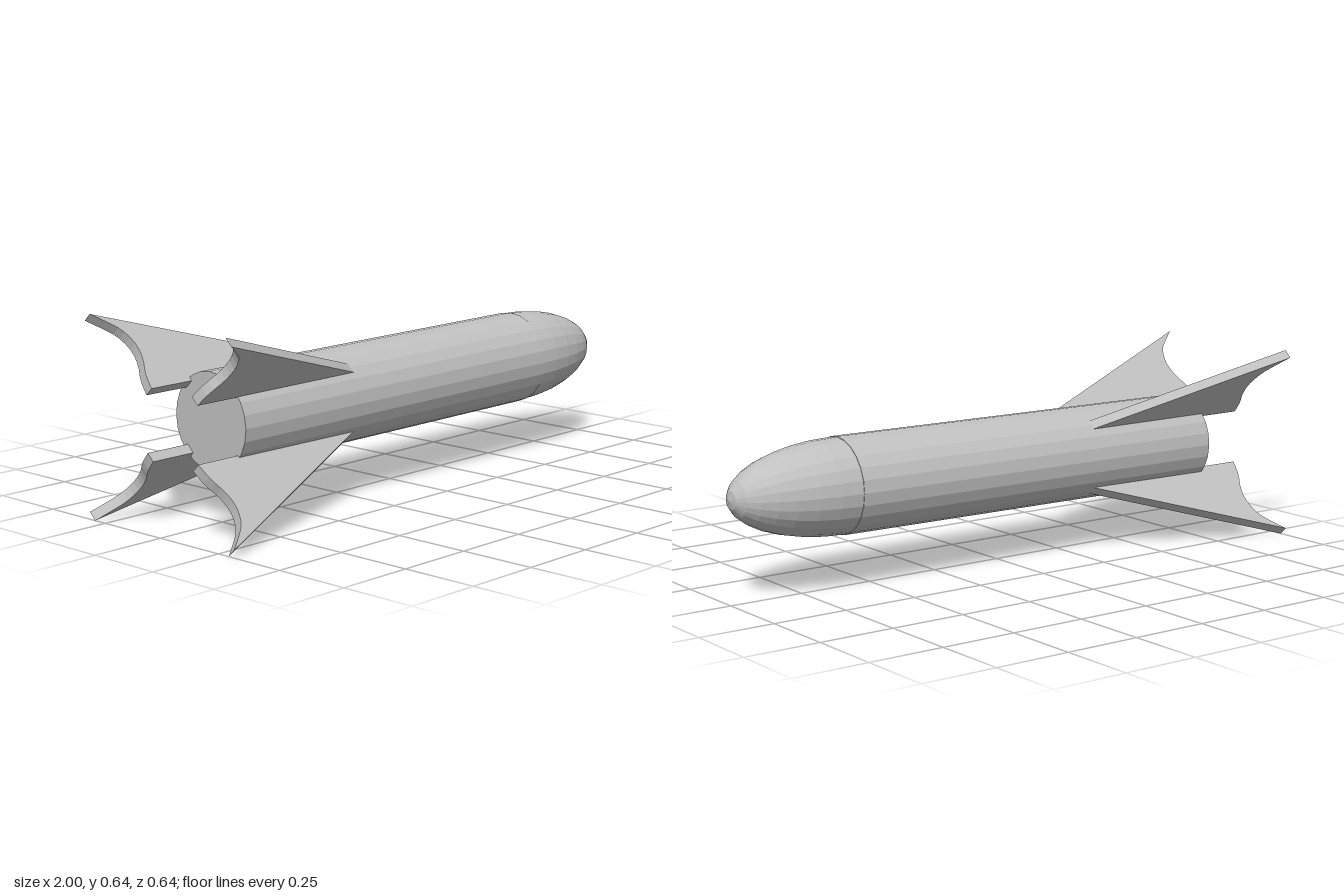
import * as THREE from 'three';

const SIDES = 24;
const BODY_RADIUS = 0.1545;
const AXIS_Y = 0.329;
const FIN_THICKNESS = 0.033;

export function createModel() {
  const model = new THREE.Group();
  model.name = 'rocket';
  const grey = new THREE.MeshStandardMaterial({ color: 0xc0c0c0, flatShading: true });
  grey.name = 'light grey';

  const add = (parent, name, geometry) => {
    const mesh = new THREE.Mesh(geometry, grey);
    mesh.name = name;
    parent.add(mesh);
    return mesh;
  };

  // Fuselage, built from the tail along +x and very slightly tilted
  const fuselage = new THREE.Group();
  fuselage.name = 'fuselage';
  fuselage.position.set(-0.783, 0.3255, -0.0095);
  fuselage.quaternion.setFromUnitVectors(
    new THREE.Vector3(1, 0, 0),
    new THREE.Vector3(1.395, 0.006, 0.012).normalize()
  );
  model.add(fuselage);

  // Straight body tube with closed ends
  const bodyLength = 1.395;
  const body = new THREE.CylinderGeometry(BODY_RADIUS, BODY_RADIUS, bodyLength, SIDES);
  body.rotateZ(-Math.PI / 2).translate(bodyLength / 2, 0, 0);
  add(fuselage, 'body', body);

  // Half-ellipsoid nose, a touch narrower than the body
  const noseProfile = [];
  for (let i = 0; i <= 8; i++) {
    const a = (i / 8) * (Math.PI / 2);
    noseProfile.push(new THREE.Vector2(0.1525 * Math.cos(a), 0.384 * Math.sin(a)));
  }
  noseProfile[8].x = 0;
  const nose = new THREE.LatheGeometry(noseProfile, SIDES);
  nose.rotateZ(-Math.PI / 2).translate(bodyLength, 0, 0);
  add(fuselage, 'noseCone', nose);

  // Swept fin with a concave trailing edge; shape y is the distance from the axis
  const finShape = new THREE.Shape();
  finShape.moveTo(-0.27, 0.141);
  finShape.lineTo(-1, 0.434);
  finShape.splineThru([
    [-0.955, 0.395], [-0.92, 0.358], [-0.902, 0.305],
    [-0.908, 0.25], [-0.932, 0.195], [-0.943, 0.141],
  ].map(([x, y]) => new THREE.Vector2(x, y)));
  finShape.closePath();
  const fin = new THREE.ExtrudeGeometry(finShape, {
    depth: FIN_THICKNESS, bevelEnabled: false, curveSegments: 2,
  });
  fin.translate(0, 0, -FIN_THICKNESS / 2);

  // Four fins on the diagonals
  ['upperFrontFin', 'lowerFrontFin', 'lowerBackFin', 'upperBackFin'].forEach((name, i) => {
    const mesh = add(model, name, fin);
    mesh.rotation.x = Math.PI / 4 + (i * Math.PI) / 2;
    mesh.position.set(0, AXIS_Y, -0.002);
  });

  return model;
}
